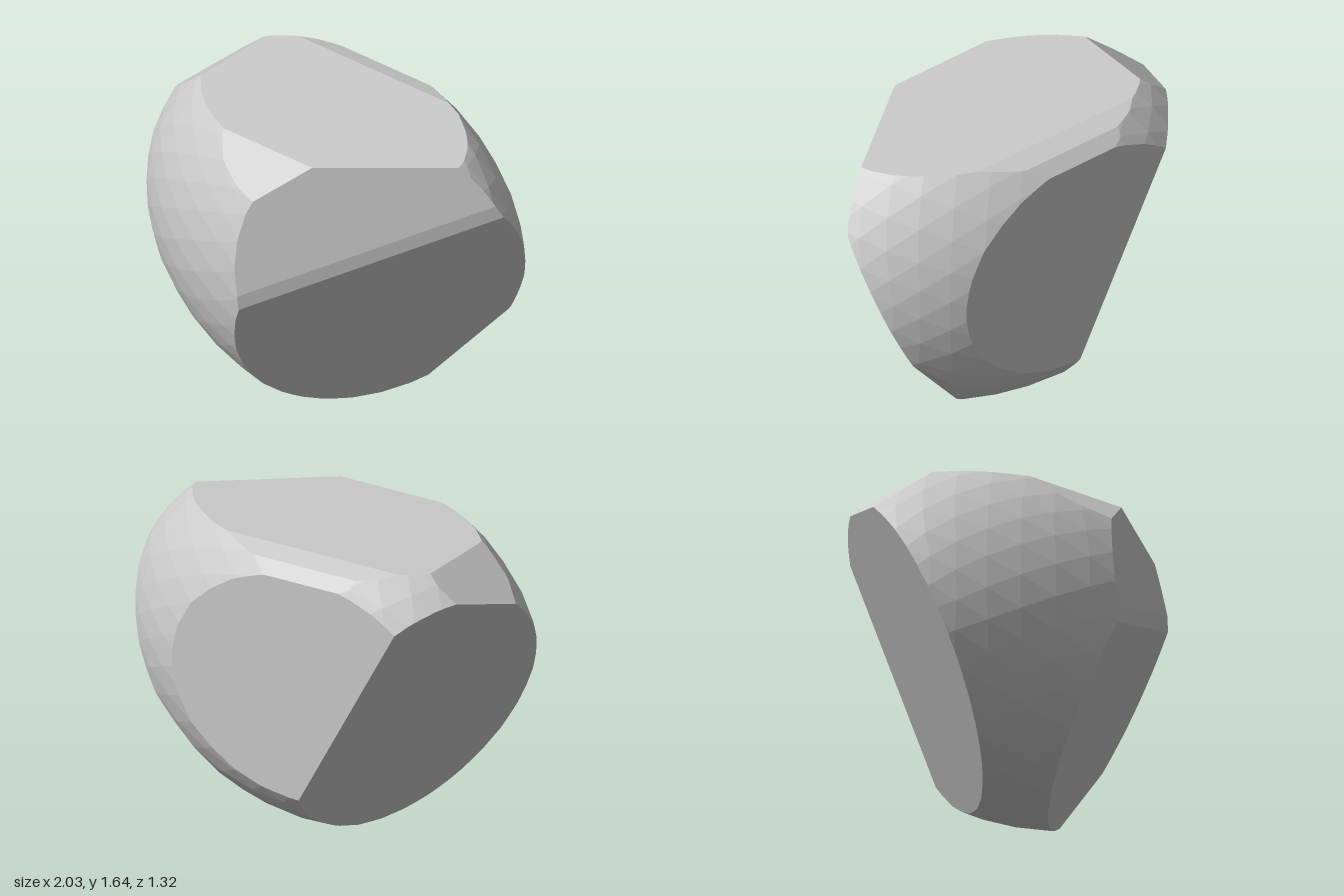
import * as THREE from 'three';

// Cut away everything beyond the plane n.p = d and close the hole with a flat cap.
function slice(faces, n, d) {
  const kept = [], rim = [];
  for (const face of faces) {
    const out = [];
    face.forEach((a, i) => {
      const b = face[(i + 1) % face.length];
      const da = n.dot(a) - d, db = n.dot(b) - d;
      if (da <= 0) out.push(a);
      if ((da <= 0) !== (db <= 0)) {
        const p = a.clone().lerp(b, da / (da - db));
        out.push(p);
        rim.push(p);
      }
    });
    if (out.length > 2) kept.push(out);
  }
  if (rim.length > 2) {
    // Sort the rim counter-clockwise around the plane normal
    const centre = rim.reduce((s, p) => s.add(p), new THREE.Vector3()).divideScalar(rim.length);
    const u = rim[0].clone().sub(centre).normalize();
    const v = new THREE.Vector3().crossVectors(n, u).normalize();
    const angle = (p) => {
      const q = p.clone().sub(centre);
      return Math.atan2(q.dot(v), q.dot(u));
    };
    kept.push(rim.map((p) => [angle(p), p]).sort((a, b) => a[0] - b[0]).map((e) => e[1]));
  }
  return kept;
}

export function createModel() {
  // Faceted ellipsoid, slightly skewed: the rounded body of the stone
  const body = new THREE.IcosahedronGeometry(1, 6);
  body.scale(1.17, 0.95, 0.75).translate(-0.02, 0.95, -0.08);
  const pos = body.attributes.position;
  let faces = [];
  for (let i = 0; i < pos.count; i += 3) {
    faces.push([0, 1, 2].map((k) => {
      const p = new THREE.Vector3().fromBufferAttribute(pos, i + k);
      p.z += 0.1 * p.x;
      return p;
    }));
  }

  // Flat broken faces: normal x, y, z and offset
  const cuts = [
    [0, 1, 0.045, 1.618],            // top
    [0, 0, -1, 0.655],               // back
    [1.22, -0.7, 1, 0.06],           // large undercut, front left
    [0.77, 0.13, 1, 0.755],          // upright face above it
    [0.96, -0.101, 1.077, 0.597],    // narrow bevel between the two
    [-1, -0.52, -0.57, 0.335],       // large undercut, rear right
    [1, -1, -0.5, 0.41],             // lower rear left
    [0, 1, 1, 1.98],                 // upper front chamfer
    [-1, 1.2, 0, 2.7],               // upper right chamfer
    [0, 1, -0.3, 1.785],             // gentle slope at the back of the top
    [0, 1, -1, 2.2],                 // upper back chamfer
  ];
  for (const [x, y, z, d] of cuts) faces = slice(faces, new THREE.Vector3(x, y, z), d);

  // Fan each flat polygon into triangles
  const tris = [];
  for (const f of faces) {
    for (let i = 1; i < f.length - 1; i++) tris.push(f[0], f[i], f[i + 1]);
  }
  const geometry = new THREE.BufferGeometry().setFromPoints(tris);
  geometry.computeVertexNormals();

  const rock = new THREE.Mesh(geometry, new THREE.MeshStandardMaterial({ color: 0xcccccc, flatShading: true }));
  rock.name = 'rock';
  const group = new THREE.Group();
  group.name = 'boulder';
  group.add(rock);
  return group;
}
